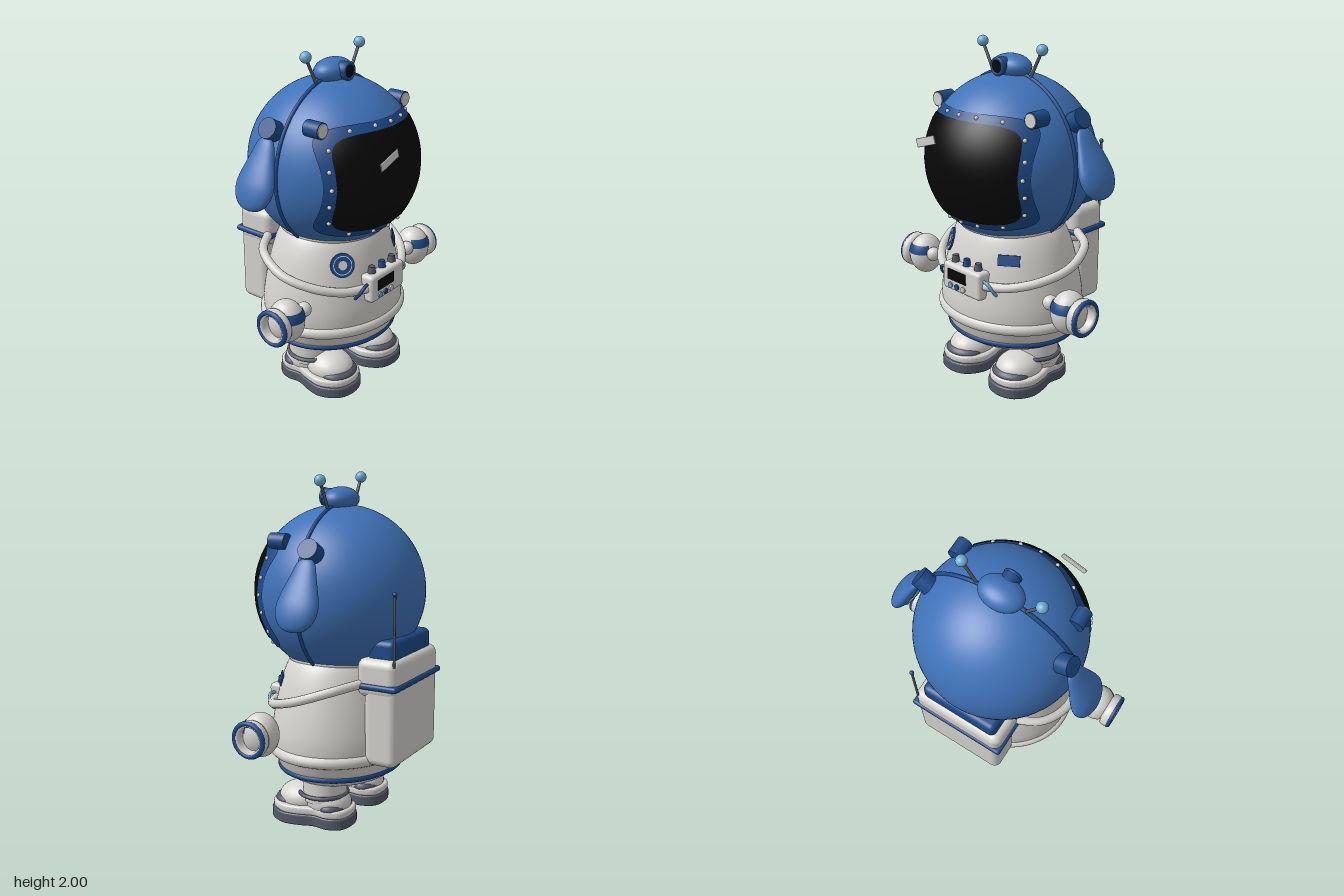
import * as THREE from 'three';
import { RoundedBoxGeometry } from 'three/addons/geometries/RoundedBoxGeometry.js';

const mat = (name, color, side = THREE.FrontSide) => {
  const m = new THREE.MeshStandardMaterial({ color, side });
  m.name = name;
  return m;
};
const V = (x, y, z) => new THREE.Vector3(x, y, z);

export function createModel() {
  const root = new THREE.Group();
  const blue = mat('helmet blue', 0x3f72b8);
  const navy = mat('trim navy', 0x1d4a88, THREE.DoubleSide);
  const sky = mat('light blue', 0x6fadd4);
  const white = mat('suit white', 0xd6d4d0);
  const black = mat('visor black', 0x080808, THREE.DoubleSide);
  const grey = mat('rubber grey', 0x545a68);

  const add = (name, geo, m, pos = [0, 0, 0], parent = root) => {
    const mesh = new THREE.Mesh(geo, m);
    mesh.name = name;
    mesh.position.set(...pos);
    parent.add(mesh);
    return mesh;
  };
  const ball = (name, m, pos, rx, ry = rx, rz = rx, parent = root, seg = 32) => {
    const b = add(name, new THREE.SphereGeometry(1, seg, seg * 0.75), m, pos, parent);
    b.scale.set(rx, ry, rz);
    return b;
  };
  const rod = (name, m, points, r, parent = root) =>
    add(name, new THREE.TubeGeometry(new THREE.CatmullRomCurve3(points), 40, r, 12), m, [0, 0, 0], parent);
  // cylinder facing +z
  const disc = (name, m, pos, r, depth, parent = root) =>
    add(name, new THREE.CylinderGeometry(r, r, depth, 28).rotateX(Math.PI / 2), m, pos, parent);

  // ---- helmet ----
  const HY = 1.34, HR = 0.487;
  add('helmet', new THREE.SphereGeometry(HR, 64, 48), blue, [0, HY, 0]);
  add('helmetSeam', new THREE.TorusGeometry(HR + 0.002, 0.011, 10, 96), navy, [0, HY, 0]);

  // rounded-rectangle outline, and a band between two outlines laid on the helmet sphere
  const outline = (a, hw, hh) => {
    const f = (c) => Math.sign(c) * Math.abs(c) ** 0.4;
    return [hw * f(Math.cos(a)), hh * f(Math.sin(a))];
  };
  const spherePatch = (inner, outer, radius, rings) => {
    const N = 96, pos = [], idx = [];
    for (let i = 0; i <= rings; i++) for (let j = 0; j < N; j++) {
      const a = (j / N) * Math.PI * 2, t = i / rings;
      const p = outline(a, ...inner), q = outline(a, ...outer);
      const x = p[0] + (q[0] - p[0]) * t, y = p[1] + (q[1] - p[1]) * t;
      pos.push(x, y, Math.sqrt(radius * radius - x * x - y * y));
      if (i < rings) {
        const k = i * N + j, n = i * N + (j + 1) % N;
        idx.push(k, k + N, n + N, k, n + N, n);
      }
    }
    const g = new THREE.BufferGeometry();
    g.setAttribute('position', new THREE.Float32BufferAttribute(pos, 3));
    g.setAttribute('normal', new THREE.Float32BufferAttribute(pos.map((v) => v / radius), 3));
    g.setIndex(idx);
    return g;
  };
  add('visorFrame', spherePatch([0.36, 0.268], [0.415, 0.322], 0.494, 6), navy, [0, HY, 0]);
  add('visor', spherePatch([0, 0], [0.375, 0.28], 0.498, 24), black, [0, HY, 0]);
  const glint = add('visorGlint', new RoundedBoxGeometry(0.16, 0.05, 0.008, 3, 0.004), white, [-0.155, 1.487, 0.499]);
  glint.rotation.z = 0.3;

  // rivets around the frame
  const rivet = (x, y) => ball('rivet', white, [x, HY + y, Math.sqrt(0.244 - x * x - y * y)], 0.012, 0.012, 0.012, root, 12);
  for (const s of [-1, 1]) {
    for (const [x, y] of [[-0.25, 0.292], [-0.115, 0.302], [0, 0.302], [0.115, 0.302], [0.25, 0.292]]) rivet(x, s * y);
    for (const y of [-0.205, -0.098, 0, 0.098, 0.205]) rivet(s * (Math.abs(y) > 0.2 ? 0.365 : 0.39), y);
  }

  // crown camera
  ball('crown', blue, [0, 1.855, 0], 0.13, 0.07, 0.095);
  disc('cameraBarrel', navy, [0, 1.865, 0.08], 0.05, 0.06);
  add('cameraRim', new THREE.TorusGeometry(0.043, 0.01, 10, 28), navy, [0, 1.865, 0.108]);
  disc('cameraLens', black, [0, 1.865, 0.11], 0.037, 0.008);

  for (const s of [-1, 1]) {
    // antennae
    rod('antenna', grey, [V(s * 0.14, 1.79, 0), V(s * 0.175, 1.86, 0), V(s * 0.232, 1.965, 0)], 0.009);
    ball('antennaTip', sky, [s * 0.232, 1.968, 0], 0.032);
    // headlamps
    disc('headlamp', navy, [s * 0.37, 1.645, 0.175], 0.045, 0.1);
    disc('headlampLens', white, [s * 0.37, 1.645, 0.226], 0.039, 0.009);
    // ears
    const knob = add('earKnob', new THREE.CylinderGeometry(0.058, 0.058, 0.1, 28), navy, [s * 0.43, 1.605, -0.065]);
    knob.rotation.z = -s * 1.05;
    const ear = new THREE.Group();
    ear.name = 'ear';
    ear.position.set(s * 0.47, 1.585, -0.065);
    ear.rotation.z = s * 0.41;
    root.add(ear);
    const earProfile = new THREE.SplineCurve([[0, -0.41], [0.06, -0.397], [0.105, -0.355], [0.125, -0.29],
      [0.115, -0.22], [0.082, -0.12], [0.05, -0.03], [0, 0]].map((p) => new THREE.Vector2(...p))).getPoints(32);
    earProfile.forEach((p) => { p.x = Math.max(0, p.x); });
    add('earLobe', new THREE.LatheGeometry(earProfile, 40), blue, [0, 0, 0], ear).scale.x = 0.44;
    ball('innerEar', sky, [-s * 0.049, -0.27, 0], 0.012, 0.1, 0.075, ear);
  }

  // ---- suit body, an oval lathe ----
  const ZS = 0.87;
  const profile = new THREE.SplineCurve([[0, 0.235], [0.2, 0.237], [0.29, 0.248], [0.36, 0.28], [0.4, 0.325],
    [0.425, 0.38], [0.445, 0.44], [0.448, 0.52], [0.438, 0.6], [0.417, 0.7], [0.385, 0.82], [0.355, 0.9],
    [0.327, 0.95], [0.295, 0.985]].map((p) => new THREE.Vector2(...p))).getPoints(78);
  profile.forEach((p) => { p.x = Math.max(0, p.x); });
  add('suitBody', new THREE.LatheGeometry(profile, 72), white).scale.z = ZS;
  const ring = (name, m, y, r, tube, zs = ZS) => {
    const t = add(name, new THREE.TorusGeometry(r, tube, 14, 80).rotateX(Math.PI / 2), m, [0, y, 0]);
    t.scale.z = zs;
  };
  ring('neckRing', white, 0.965, 0.3, 0.02, 0.95);
  ring('waistRing', white, 0.437, 0.436, 0.035);
  ring('hemRing', navy, 0.322, 0.395, 0.018);

  // place a badge group on the front of the suit, facing outward
  const surfaceZ = (x, y) => {
    const i = profile.findIndex((p) => p.y > y), a = profile[i - 1], b = profile[i];
    const r = a.x + (b.x - a.x) * (y - a.y) / (b.y - a.y);
    return ZS * Math.sqrt(r * r - x * x);
  };
  const badge = (name, x, y) => {
    const g = new THREE.Group(), z = surfaceZ(x, y), e = 0.02;
    g.name = name;
    g.position.set(x, y, z);
    g.lookAt(x - (surfaceZ(x + e, y) - surfaceZ(x - e, y)) / (2 * e),
      y - (surfaceZ(x, y + e) - surfaceZ(x, y - e)) / (2 * e), z + 1);
    root.add(g);
    return g;
  };
  const round = badge('roundBadge', -0.24, 0.835);
  disc('badgeDisc', navy, [0, 0, 0.004], 0.07, 0.009, round);
  add('badgeRing', new THREE.RingGeometry(0.05, 0.055, 32), white, [0, 0, 0.0095], round);
  disc('badgeCentre', white, [0, 0, 0.008], 0.026, 0.006, round);
  const patch = badge('nameBadge', 0.24, 0.835);
  add('badgePlate', new THREE.BoxGeometry(0.125, 0.062, 0.009), navy, [0, 0, 0.004], patch);

  // ---- chest control box ----
  add('controlBox', new RoundedBoxGeometry(0.31, 0.165, 0.1, 4, 0.022), white, [0, 0.683, 0.356]);
  add('controlScreen', new THREE.BoxGeometry(0.15, 0.064, 0.008), black, [-0.03, 0.702, 0.407]);
  [sky, navy, white].forEach((m, i) => disc('controlButton', m, [-0.083 + i * 0.053, 0.637, 0.408], 0.017, 0.012));
  for (const x of [-0.095, 0, 0.095])
    add('controlKnob', new THREE.CylinderGeometry(0.018, 0.025, 0.045, 20), x ? grey : navy, [x, 0.782, 0.355]);
  for (const s of [-1, 1]) {
    rod('controlCable', s < 0 ? navy : sky,
      [V(s * 0.145, 0.715, 0.365), V(s * 0.192, 0.712, 0.375), V(s * 0.214, 0.675, 0.36), V(s * 0.208, 0.635, 0.325)], 0.009);
    // air hoses from pack to control box
    rod('airHose', white, [V(s * 0.26, 0.88, -0.28), V(s * 0.41, 0.855, -0.18), V(s * 0.475, 0.79, 0.01),
      V(s * 0.41, 0.735, 0.18), V(s * 0.28, 0.695, 0.3), V(s * 0.14, 0.683, 0.36)], 0.026);
  }

  // ---- floating gloves ----
  for (const s of [-1, 1]) {
    const glove = new THREE.Group();
    glove.name = 'glove';
    glove.position.set(s * 0.605, 0.615, 0.16);
    root.add(glove);
    ball('palm', white, [0, 0, 0], 0.097, 0.125, 0.105, glove);
    ball('thumb', white, [-s * 0.11, 0.03, 0.03], 0.043, 0.043, 0.043, glove);
    const strap = add('gloveStrap', new THREE.SphereGeometry(1, 24, 8, 0.45, 2.25, 0.95, 0.46), navy, [0, 0, 0], glove);
    strap.scale.set(0.101, 0.129, 0.109);
    const cuff = add('cuff', new THREE.LatheGeometry([[0.08, 0], [0.1, 0.008], [0.105, 0.025], [0.105, 0.05], [0.096, 0.064],
      [0.076, 0.066], [0.069, 0.055], [0.067, 0]].map((p) => new THREE.Vector2(...p)), 40), white, [s * 0.06, 0, 0], glove);
    cuff.rotation.z = -s * Math.PI / 2;
    add('cuffRing', new THREE.TorusGeometry(0.092, 0.014, 12, 40).rotateY(Math.PI / 2), navy, [s * 0.117, 0, 0], glove);
  }

  // ---- backpack ----
  add('packBody', new RoundedBoxGeometry(0.56, 0.5, 0.2, 5, 0.045), white, [0, 0.665, -0.392]);
  add('packTop', new RoundedBoxGeometry(0.57, 0.22, 0.245, 5, 0.05), white, [0, 0.915, -0.37]);
  add('packBand', new RoundedBoxGeometry(0.6, 0.034, 0.265, 4, 0.016), navy, [0, 0.872, -0.372]);
  add('packCap', new RoundedBoxGeometry(0.48, 0.13, 0.165, 4, 0.035), navy, [0, 1.06, -0.38]);
  rod('packAerial', grey, [V(0.265, 0.99, -0.475), V(0.265, 1.39, -0.475)], 0.007);
  ball('packAerialTip', navy, [0.265, 1.39, -0.475], 0.013, 0.013, 0.013, root, 16);

  // ---- legs and boots ----
  const half = [[0.095, 0.29], [0.155, 0.19], [0.145, 0.09], [0.118, 0], [0.125, -0.09], [0.085, -0.165]];
  const solePoints = [[0, 0.318], ...half, [0, -0.185], ...half.map(([x, z]) => [-x, z]).reverse()];
  const soleCurve = new THREE.CatmullRomCurve3(solePoints.map(([x, z]) => V(x, -z, 0)), true);
  const soleShape = new THREE.Shape(soleCurve.getPoints(64).slice(0, -1).map((p) => new THREE.Vector2(p.x, p.y)));
  const slab = (height, bevel) => new THREE.ExtrudeGeometry(soleShape, {
    depth: height - 2 * bevel, bevelThickness: bevel, bevelSize: bevel, bevelOffset: -bevel / 3, bevelSegments: 3,
  }).translate(0, 0, bevel).rotateX(-Math.PI / 2);
  for (const s of [-1, 1]) {
    const boot = new THREE.Group();
    boot.name = 'boot';
    boot.position.x = s * 0.205;
    root.add(boot);
    add('sole', slab(0.066, 0.01), grey, [0, 0, 0], boot);
    add('midsole', slab(0.048, 0.016), white, [0, 0.064, 0], boot).scale.set(0.95, 1, 0.96);
    ball('toe', white, [0, 0.125, 0.14], 0.13, 0.095, 0.145, boot);
    ball('heel', white, [0, 0.13, -0.03], 0.125, 0.1, 0.14, boot);
    ball('toeCap', grey, [0, 0.113, 0.2], 0.124, 0.046, 0.105, boot);
    ball('heelCap', grey, [0, 0.113, -0.075], 0.13, 0.05, 0.09, boot);
    add('ankleBand', new THREE.TorusGeometry(0.138, 0.012, 10, 48).rotateX(Math.PI / 2), grey, [0, 0.182, 0], boot);
    add('leg', new THREE.CylinderGeometry(0.128, 0.128, 0.17, 36), white, [0, 0.225, -0.01], boot);
  }
  return root;
}
